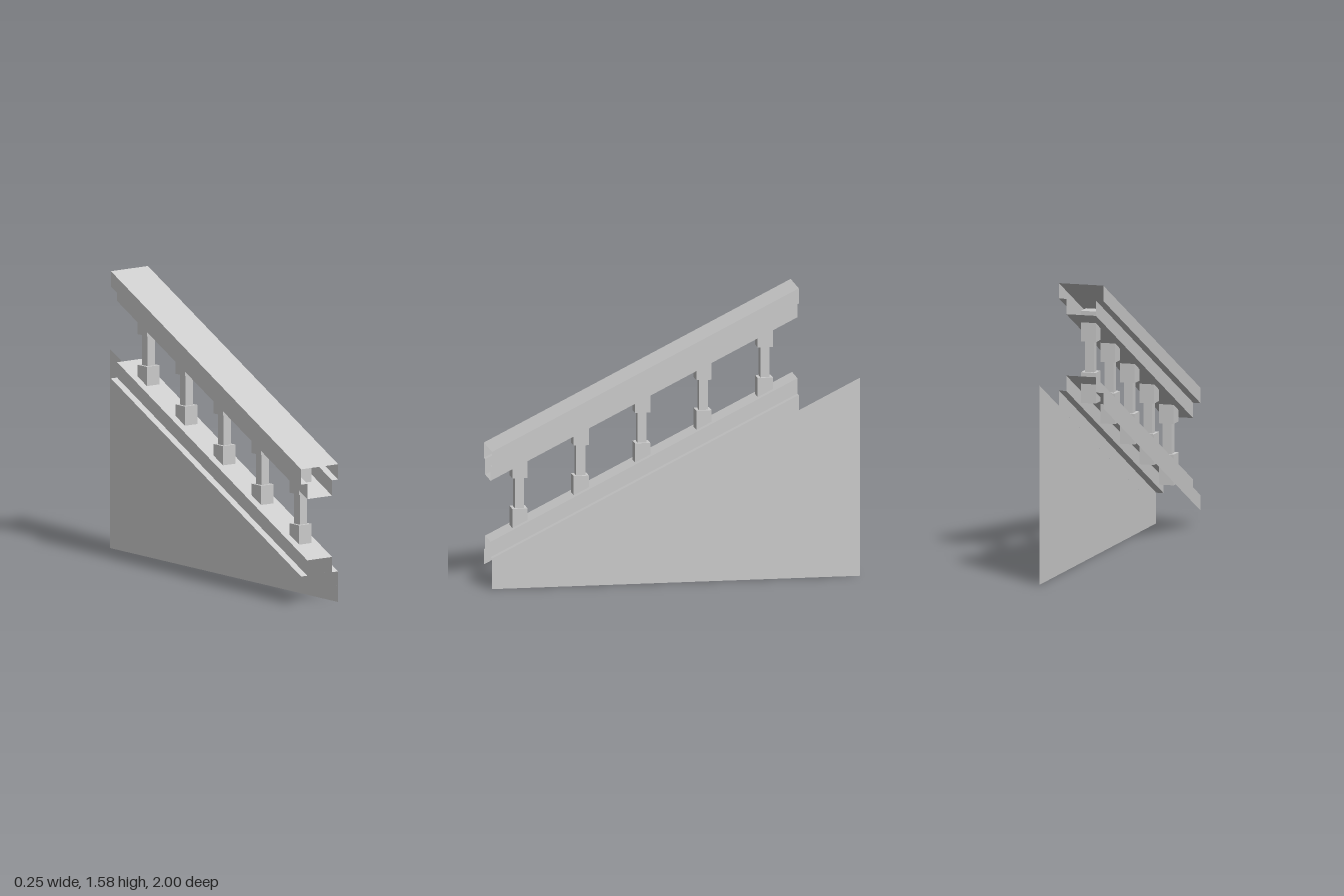
import * as THREE from 'three';

const FRONT = 1, BACK = -2 / 3, SLOPE = 0.5;
const HALF = 0.125, INNER = 0.0833, STEP = 0.0833;

const solid = new THREE.MeshStandardMaterial({ color: 0xcccccc, flatShading: true });
const sheet = new THREE.MeshStandardMaterial({ color: 0xcccccc, flatShading: true, side: THREE.DoubleSide });

function addMesh(parent, name, geometry, material) {
  const mesh = new THREE.Mesh(geometry, material);
  mesh.name = name;
  parent.add(mesh);
  return mesh;
}

// Sweeps an x/y profile of thin sheet up the slope, keeping its ends vertical
function slopedChannel(profile) {
  const rise = (FRONT - BACK) * SLOPE;
  const positions = [];
  for (let i = 0; i < profile.length - 1; i++) {
    const [ax, ay] = profile[i], [bx, by] = profile[i + 1];
    const a = [ax, ay, FRONT], b = [bx, by, FRONT];
    const c = [bx, by + rise, BACK], d = [ax, ay + rise, BACK];
    positions.push(...a, ...b, ...c, ...a, ...c, ...d);
  }
  const geometry = new THREE.BufferGeometry();
  geometry.setAttribute('position', new THREE.Float32BufferAttribute(positions, 3));
  geometry.computeVertexNormals();
  return geometry;
}

// Completes a left half profile with its mirror image
const mirrored = (half) => [...half, ...half.map(([x, y]) => [-x, y]).reverse()];

// Square post with a wider block at each end, centred on its own origin
function makeBaluster() {
  const baluster = new THREE.Group();
  baluster.name = 'baluster';
  addMesh(baluster, 'shaft', new THREE.BoxGeometry(0.05, 0.17, 0.05), solid);
  for (const [name, side] of [['lowerBlock', -1], ['upperBlock', 1]]) {
    const block = addMesh(baluster, name, new THREE.BoxGeometry(0.0833, 0.1667, 0.0833), solid);
    block.position.y = side * 0.1667;
  }
  return baluster;
}

export function createModel() {
  const group = new THREE.Group();
  group.name = 'stairRailing';

  // Stepped base channel, open underneath
  const y0 = 0.25;
  addMesh(group, 'baseRail', slopedChannel(mirrored([
    [-HALF, y0 - 2 * STEP], [-HALF, y0 - STEP], [-INNER, y0 - STEP], [-INNER, y0],
  ])), sheet);

  // Hollow handrail, wide above and narrow below, open at both ends
  const y1 = 0.75;
  const rail = mirrored([
    [-INNER, y1 - 2 * STEP], [-INNER, y1 - STEP], [-HALF, y1 - STEP], [-HALF, y1],
  ]);
  addMesh(group, 'handrail', slopedChannel([...rail, rail[0]]), sheet);

  // Balusters, each a third of a unit further up the slope
  for (let i = 0; i < 5; i++) {
    const z = 5 / 6 - i / 3;
    const baluster = makeBaluster();
    baluster.position.set(0, 0.4167 + (FRONT - z) * SLOPE, z);
    group.add(baluster);
  }

  // Thin wall under the base rail on the left side
  const outline = new THREE.Shape([[-1, 0], [1, 0], [1, 1.0833], [-1, 0.0833]]
    .map(([x, y]) => new THREE.Vector2(x, y)));
  const wall = new THREE.ShapeGeometry(outline).rotateY(Math.PI / 2).translate(HALF, 0, 0);
  addMesh(group, 'sideWall', wall, sheet);

  return group;
}
